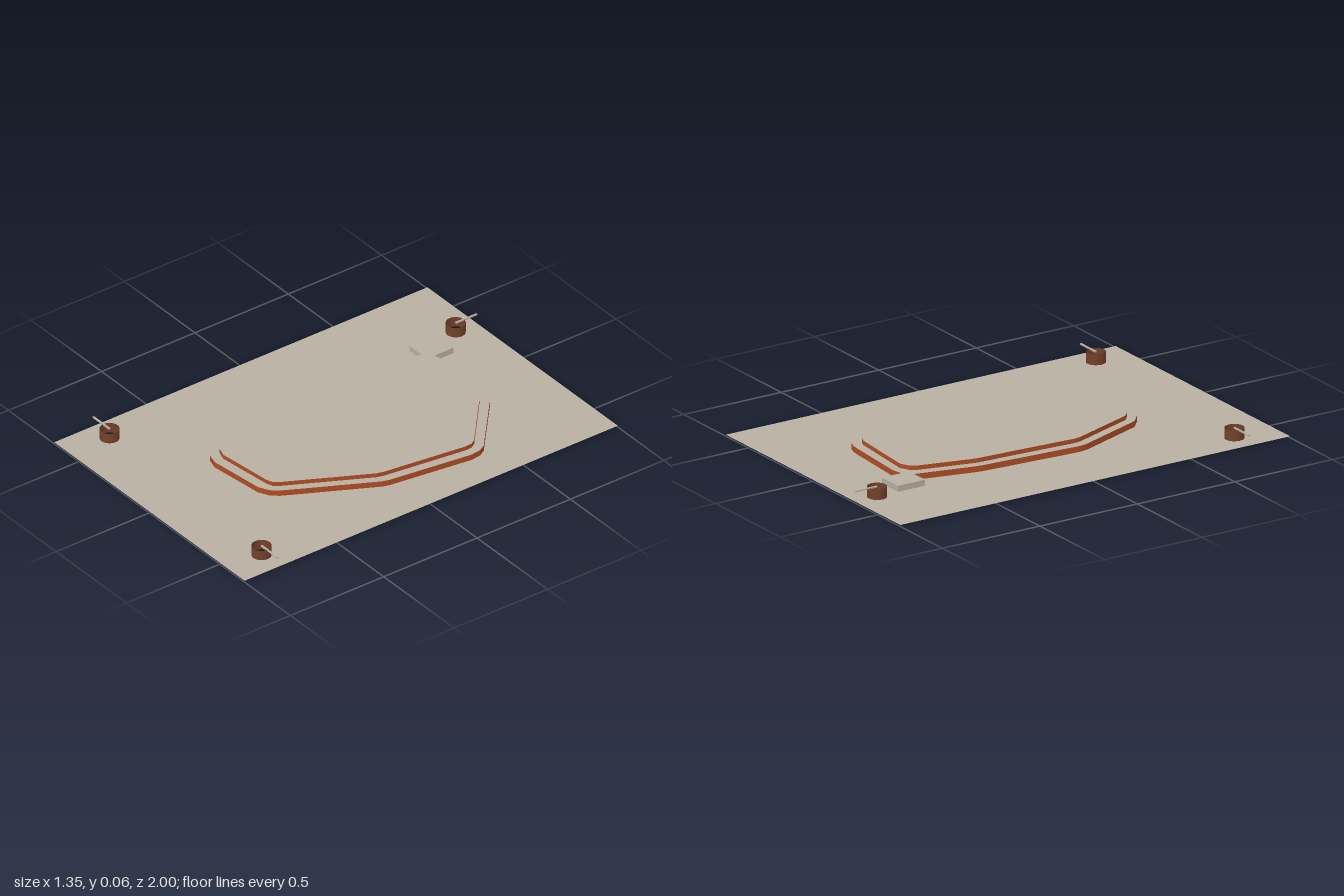
import * as THREE from 'three';

const paint = (name, color, side = THREE.DoubleSide) => {
  const m = new THREE.MeshStandardMaterial({ color, side });
  m.name = name;
  return m;
};

// Heights of the three flat levels
const SHEET = 0.007, STEP = 0.034, TOP = 0.054;

// Raised outline as [x, z] points; it runs around the lower step
const outer = [
  [-0.2, -0.68], [-0.145, -0.69], [0.19, -0.665], [0.23, -0.65], [0.485, -0.425], [0.505, -0.39],
  [0.51, -0.34], [0.455, 0.06], [0.445, 0.09], [0.24, 0.48], [0.21, 0.515], [0.16, 0.54],
  [-0.105, 0.57], [-0.16, 0.555], [-0.21, 0.51], [-0.335, 0.18], [-0.34, 0.14],
  [-0.31, -0.34], [-0.30, -0.39], [-0.24, -0.64],
];
// Square tab that joins the ends of the outline
const tab = [[-0.24, -0.64], [-0.325, -0.64], [-0.325, -0.78], [-0.2, -0.78], [-0.2, -0.68]];
const footprint = [...outer, ...tab.slice(1, 4)];
// Upper plateau
const inner = [
  [-0.145, -0.65], [0.18, -0.622], [0.21, -0.61], [0.45, -0.40], [0.466, -0.375], [0.468, -0.34],
  [0.415, 0.055], [0.405, 0.09], [0.21, 0.46], [0.19, 0.485], [0.16, 0.495],
  [-0.105, 0.525], [-0.15, 0.51], [-0.178, 0.485], [-0.295, 0.17], [-0.297, 0.14],
  [-0.27, -0.34], [-0.262, -0.375], [-0.205, -0.60], [-0.185, -0.63],
];

const toVectors = (pts) => pts.map(([x, z]) => new THREE.Vector2(x, -z));

// Flat horizontal face with holes
function flat(pts, holes, y) {
  const shape = new THREE.Shape(toVectors(pts));
  holes.forEach((h) => shape.holes.push(new THREE.Path(toVectors(h))));
  return new THREE.ShapeGeometry(shape).rotateX(-Math.PI / 2).translate(0, y, 0);
}

// Upright wall along a path, facing outwards
function wall(pts, y0, y1, closed) {
  const pos = [];
  const count = closed ? pts.length : pts.length - 1;
  for (let i = 0; i < count; i++) {
    const [ax, az] = pts[i], [bx, bz] = pts[(i + 1) % pts.length];
    pos.push(ax, y0, az, ax, y1, az, bx, y1, bz, ax, y0, az, bx, y1, bz, bx, y0, bz);
  }
  const g = new THREE.BufferGeometry();
  g.setAttribute('position', new THREE.Float32BufferAttribute(pos, 3));
  g.computeVertexNormals();
  return g;
}

function circle(cx, cz, r, n = 32) {
  return Array.from({ length: n }, (_, i) => {
    const a = (i / n) * Math.PI * 2;
    return [cx + r * Math.cos(a), cz + r * Math.sin(a)];
  });
}

export function createModel() {
  const model = new THREE.Group();
  const stone = paint('stone', 0xb8b0a2);
  const orange = paint('burntOrange', 0xb04c24);
  const brown = paint('brown', 0x74402b);
  const add = (name, geometry, material) => {
    const mesh = new THREE.Mesh(geometry, material);
    mesh.name = name;
    model.add(mesh);
    return mesh;
  };

  // Open tubes: position and the direction of their pointer
  const R = 0.043;
  const tubes = [
    { x: -0.325, z: -0.887, dx: 0, dz: -1 },
    { x: -0.56, z: 0.79, dx: -1, dz: 0 },
    { x: 0.557, z: 0.82, dx: 1, dz: 0 },
  ];

  // Base sheet, cut open under the raised area and the tubes
  const W = 0.675, D = 1;
  add('baseSheet', flat([[-W, -D], [W, -D], [W, D], [-W, D]],
    [footprint, ...tubes.map((t) => circle(t.x, t.z, R))], SHEET), stone);

  // Two raised levels and their walls
  add('lowerStep', flat(footprint, [inner], STEP), stone);
  add('lowerWall', wall(outer, SHEET, STEP, false), orange);
  add('tabWall', wall(tab, SHEET, STEP, false), stone);
  add('plateau', flat(inner, [], TOP), stone);
  add('upperWall', wall(inner, STEP, TOP, true), orange);

  // Tubes, each with a thin pointer reaching the sheet edge
  tubes.forEach(({ x, z, dx, dz }) => {
    const h = 0.055 - SHEET;
    add('tube', new THREE.CylinderGeometry(R, R, h, 32, 1, true), brown)
      .position.set(x, SHEET + h / 2, z);
    const length = dx ? W - Math.abs(x) : D - Math.abs(z);
    add('pointer', new THREE.BoxGeometry(dx ? length : 0.008, 0.006, dz ? length : 0.008), stone)
      .position.set(x + dx * length / 2, 0.053, z + dz * length / 2);
  });

  // Small pins under the sheet
  [[0.35, -0.88], [0.61, -0.26], [-0.475, -0.255], [-0.327, 0.885]].forEach(([x, z]) => {
    add('pin', new THREE.CylinderGeometry(0.012, 0.012, SHEET - 0.0005, 12), stone)
      .position.set(x, (SHEET - 0.0005) / 2, z);
  });

  return model;
}
